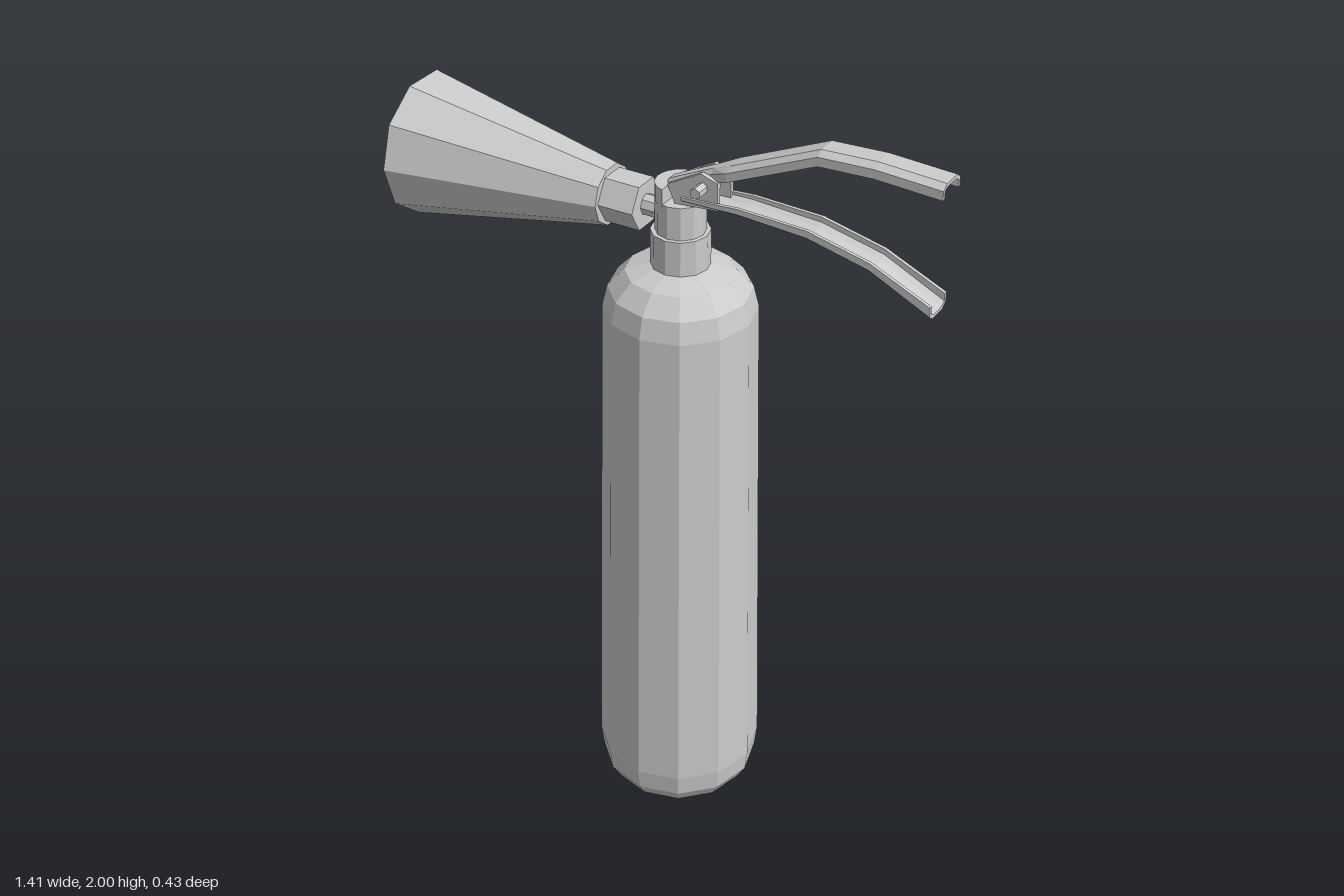
import * as THREE from 'three';

const material = new THREE.MeshStandardMaterial({ color: 0xcccccc, flatShading: true });
const CX = 0.025; // tank axis

function part(name, geometry, x = 0, y = 0, z = 0) {
  const mesh = new THREE.Mesh(geometry, material);
  mesh.name = name;
  mesh.position.set(x, y, z);
  return mesh;
}

const lathe = (points, sides) =>
  new THREE.LatheGeometry(points.map(([r, y]) => new THREE.Vector2(r, y)), sides);

// Folded-sheet channel swept along stations [x, y, half width, depth];
// side = 1 opens downwards, side = -1 opens upwards.
function channel(stations, side) {
  const wall = 0.009;
  const rows = stations.map(([x, y, w, d]) => {
    const half = (inset) => {
      const s = w - inset;
      return [[-s, -d], [-s, -0.012 - inset * 0.5], [-s * 0.6, -inset],
        [s * 0.6, -inset], [s, -0.012 - inset * 0.5], [s, -d]];
    };
    return [...half(0), ...half(wall).reverse()]
      .map(([z, h]) => [x, y + h * side, z * side]);
  });
  const pos = [];
  const quad = (a, b, c, d) => pos.push(...a, ...b, ...c, ...a, ...c, ...d);
  const n = rows[0].length;
  for (let i = 0; i < rows.length - 1; i++) {
    for (let j = 0; j < n; j++) {
      const k = (j + 1) % n;
      quad(rows[i][j], rows[i][k], rows[i + 1][k], rows[i + 1][j]);
    }
  }
  // End caps join the outer and inner skins
  const first = rows[0], last = rows[rows.length - 1];
  for (let j = 0; j < 5; j++) {
    quad(first[n - 1 - j], first[n - 2 - j], first[j + 1], first[j]);
    quad(last[j], last[j + 1], last[n - 2 - j], last[n - 1 - j]);
  }
  const g = new THREE.BufferGeometry();
  g.setAttribute('position', new THREE.Float32BufferAttribute(pos, 3));
  g.computeVertexNormals();
  return g;
}

export function createModel() {
  const model = new THREE.Group();
  model.name = 'fireExtinguisher';

  // Tapered tank with rounded base and shoulder
  model.add(part('tank', lathe([
    [0, 0.003], [0.14, 0.003], [0.185, 0.02], [0.209, 0.06], [0.216, 0.12],
    [0.19, 1.47], [0.177, 1.525], [0.135, 1.57], [0.07, 1.59], [0, 1.59],
  ], 12), CX));

  // Neck collar and valve
  model.add(part('neckCollar', new THREE.CylinderGeometry(0.073, 0.073, 0.11, 12), CX, 1.625));
  model.add(part('valveBody', new THREE.CylinderGeometry(0.062, 0.062, 0.09, 12), CX, 1.72));

  // Raised crescent at the back of the valve
  const crescent = new THREE.Shape();
  crescent.absarc(0, 0, 0.062, Math.PI * 0.58, Math.PI * 1.42, false);
  crescent.closePath();
  const crescentGeometry = new THREE.ExtrudeGeometry(crescent,
    { depth: 0.045, bevelEnabled: false, curveSegments: 5 });
  crescentGeometry.rotateX(-Math.PI / 2);
  model.add(part('valveCrown', crescentGeometry, CX, 1.76));

  // Levers
  model.add(part('upperLever', channel([
    [0, 1.812, 0.022, 0.035], [0.12, 1.87, 0.024, 0.035], [0.17, 1.893, 0.043, 0.035],
    [0.4, 1.994, 0.043, 0.035], [0.54, 2.0, 0.043, 0.035], [0.705, 1.991, 0.043, 0.035],
  ], 1)));
  model.add(part('lowerLever', channel([
    [0.05, 1.768, 0.043, 0.02], [0.2, 1.772, 0.043, 0.026], [0.38, 1.762, 0.043, 0.03],
    [0.54, 1.725, 0.043, 0.03], [0.695, 1.65, 0.043, 0.036],
  ], -1)));

  // Hinge cheeks and pin
  const cheek = new THREE.Shape([[0.03, 1.765], [0.145, 1.775], [0.145, 1.845],
    [0.1, 1.86], [0.01, 1.81]].map(([x, y]) => new THREE.Vector2(x, y)));
  const cheekGeometry = new THREE.ExtrudeGeometry(cheek, { depth: 0.012, bevelEnabled: false });
  for (const z of [0.025, -0.037]) model.add(part('hingeCheek', cheekGeometry, 0, 0, z));
  const pin = part('hingePin', new THREE.CylinderGeometry(0.014, 0.014, 0.145, 6), 0.105, 1.825);
  pin.rotation.x = Math.PI / 2;
  model.add(pin);

  // Discharge horn assembly, its axis turned towards -x
  const horn = new THREE.Group();
  horn.name = 'hornAssembly';
  horn.position.y = 1.72;
  horn.rotation.z = Math.PI / 2;
  horn.add(part('outletPipe', new THREE.CylinderGeometry(0.027, 0.027, 0.08, 8), 0, 0.045));
  horn.add(part('hexNut', new THREE.CylinderGeometry(0.066, 0.066, 0.1, 6), 0, 0.12));
  horn.add(part('horn', lathe([
    [0, 0.165], [0.077, 0.165], [0.182, 0.71], [0.17, 0.71], [0.064, 0.18], [0, 0.18],
  ], 10)));
  model.add(horn);

  return model;
}
